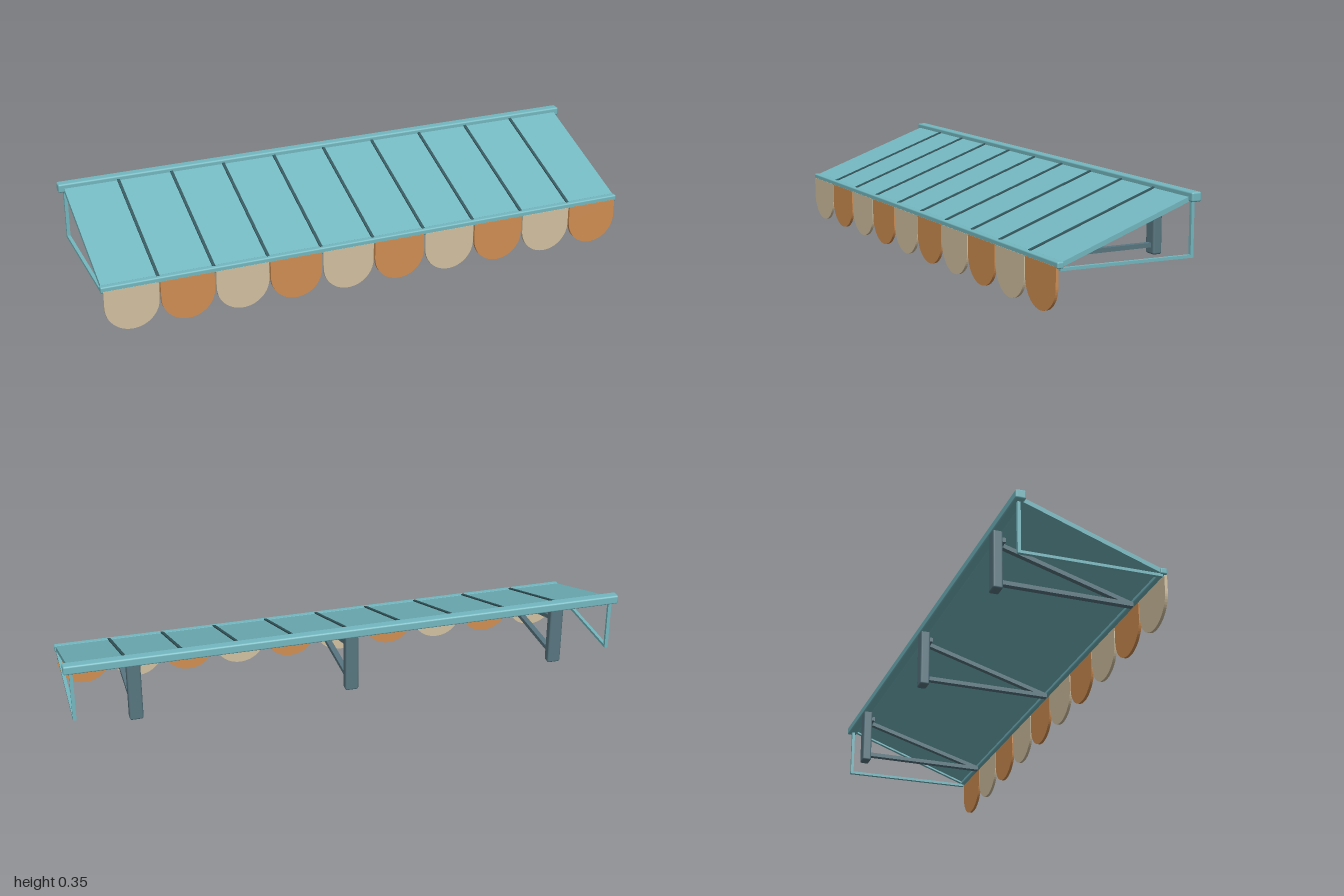
import * as THREE from 'three';
import { RoundedBoxGeometry } from 'three/addons/geometries/RoundedBoxGeometry.js';

const material = (name, color) => {
  const m = new THREE.MeshStandardMaterial({ color });
  m.name = name;
  return m;
};

export function createModel() {
  const teal = material('teal canvas', 0x74b8c0);
  const seamTeal = material('dark teal seam', 0x35585e);
  const slate = material('slate metal', 0x587680);
  const tan = material('tan cloth', 0xd2c1a1);
  const orange = material('orange cloth', 0xd08e52);

  const model = new THREE.Group();
  model.name = 'awning';

  const add = (parent, name, geometry, mat, x, y, z) => {
    const mesh = new THREE.Mesh(geometry, mat);
    mesh.name = name;
    mesh.position.set(x, y, z);
    parent.add(mesh);
    return mesh;
  };
  // Straight bar in the y-z plane from [z, y] to [z, y]
  const bar = (parent, name, mat, x, a, b, width, height) => {
    const dz = b[0] - a[0], dy = b[1] - a[1];
    const geometry = new THREE.BoxGeometry(width, height, Math.hypot(dz, dy));
    const mesh = add(parent, name, geometry, mat, x, (a[1] + b[1]) / 2, (a[0] + b[0]) / 2);
    mesh.rotation.x = -Math.atan2(dy, dz);
    return mesh;
  };

  // Rails along the wall and the front edge
  add(model, 'wallRail', new RoundedBoxGeometry(2, 0.032, 0.036, 2, 0.006), teal, 0, 0.336, -0.24);
  add(model, 'frontRail', new RoundedBoxGeometry(1.97, 0.022, 0.024, 2, 0.005), teal, 0, 0.162, 0.247);

  // Sloping canopy with seams between ten bays
  const bays = 10, pitch = 0.196;
  bar(model, 'canopy', teal, 0, [-0.24, 0.337], [0.245, 0.165], 1.96, 0.009);
  for (let i = 1; i < bays; i++) {
    bar(model, 'canopySeam', seamTeal, (i - bays / 2) * pitch, [-0.235, 0.34], [0.245, 0.17], 0.01, 0.009);
  }

  // Scalloped valance in alternating colours
  const half = 0.095, radius = 0.093;
  const scallop = new THREE.Shape();
  scallop.moveTo(half, 0.155);
  scallop.lineTo(-half, 0.155);
  scallop.lineTo(-half, radius);
  scallop.absellipse(0, radius, half, radius, Math.PI, Math.PI * 2, false);
  scallop.closePath();
  const scallopGeometry = new THREE.ExtrudeGeometry(scallop, { depth: 0.01, bevelEnabled: false, curveSegments: 16 });
  for (let i = 0; i < bays; i++) {
    add(model, 'valanceScallop', scallopGeometry, i % 2 ? orange : tan, (i - (bays - 1) / 2) * pitch, 0.002, 0.25);
  }

  // Thin triangular frames at both ends
  for (const side of [-1, 1]) {
    const frame = new THREE.Group();
    frame.name = side > 0 ? 'leftEndFrame' : 'rightEndFrame';
    const x = side * 0.974;
    bar(frame, 'slopeRod', teal, x, [-0.24, 0.331], [0.245, 0.159], 0.012, 0.011);
    bar(frame, 'lowerRod', teal, x, [-0.245, 0.142], [0.245, 0.148], 0.012, 0.01);
    add(frame, 'rearRod', new THREE.BoxGeometry(0.012, 0.19, 0.011), teal, x, 0.233, -0.24);
    model.add(frame);
  }

  // Wall brackets, each with a level arm and a diagonal brace
  for (const x of [-0.765, 0, 0.765]) {
    const bracket = new THREE.Group();
    bracket.name = 'wallBracket';
    add(bracket, 'wallPlate', new RoundedBoxGeometry(0.048, 0.225, 0.034, 2, 0.007), slate, x, 0.2245, -0.239);
    add(bracket, 'braceLug', new THREE.BoxGeometry(0.03, 0.016, 0.014), slate, x, 0.296, -0.217);
    bar(bracket, 'levelArm', slate, x, [-0.225, 0.143], [0.235, 0.144], 0.02, 0.015);
    bar(bracket, 'diagonalBrace', slate, x, [-0.215, 0.277], [0.23, 0.146], 0.018, 0.015);
    model.add(bracket);
  }

  return model;
}
